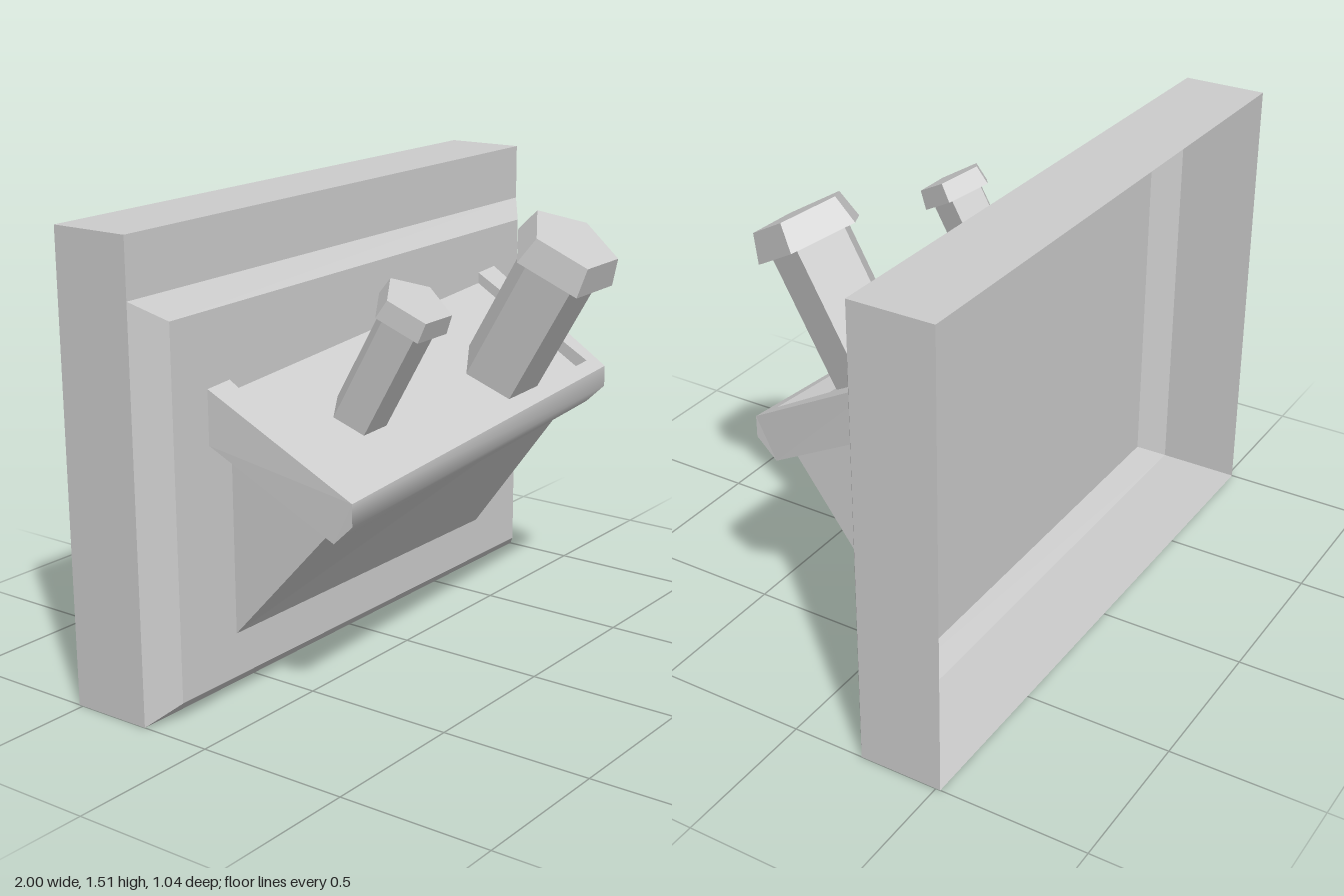
import * as THREE from 'three';

const flat = new THREE.MeshStandardMaterial({ color: 0xcccccc, flatShading: true, side: THREE.DoubleSide });
const smooth = new THREE.MeshStandardMaterial({ color: 0xcccccc, side: THREE.DoubleSide });

// Mesh from three- or four-cornered faces, corners anticlockwise from outside
function facesMesh(name, faces) {
  const pos = [];
  for (const [a, b, c, d] of faces) {
    pos.push(...a, ...b, ...c);
    if (d) pos.push(...a, ...c, ...d);
  }
  const g = new THREE.BufferGeometry();
  g.setAttribute('position', new THREE.Float32BufferAttribute(pos, 3));
  g.computeVertexNormals();
  const m = new THREE.Mesh(g, flat);
  m.name = name;
  return m;
}

// Four-cornered loop facing the front, with a top edge that slopes along x
const loop = (w, y0, top, slope, z) => [
  [-w, y0, z], [w, y0, z], [w, top + slope * w, z], [-w, top - slope * w, z],
];
const skirt = (back, front) => back.map((p, i) => {
  const j = (i + 1) % 4;
  return [p, back[j], front[j], front[i]];
});

// Hollow panel, open at the back, with a bevelled raised field
function buildPanel() {
  const back = loop(1, 0, 1.5025, 0.0125, -0.515);
  const face = loop(1, 0, 1.5025, 0.0125, -0.24);
  const outer = loop(1, 0, 1.315, 0.014, -0.24);
  const inner = loop(0.905, 0.063, 1.2525, 0.0185, -0.17);
  return facesMesh('panel', [
    ...skirt(back, face),
    [outer[3], outer[2], face[2], face[3]],
    ...skirt(outer, inner),
    inner,
  ]);
}

// Tray surface: slopes down to the front and up towards +x
const BACK = -0.17, FRONT = 0.32, LIP = 0.252, DEEP = 0.173, IN = 0.657;
const P = (x, z, drop = 0) => [x, 0.97 - 0.561 * z + 0.079 * x - drop, z];
const half = (z) => 0.755 - (z - BACK) * 0.106;

function buildTray() {
  const tray = new THREE.Group();
  tray.name = 'tray';
  const rimZ = 0.275, floorZ = 0.255, drop = 0.05, wf = half(FRONT), wb = half(BACK);
  const faces = [
    // Floor and the inner wall of the lip
    [P(-IN, floorZ, drop), P(IN, floorZ, drop), P(IN, BACK, 0.037), P(-IN, BACK, 0.037)],
    [P(-IN, rimZ), P(IN, rimZ), P(IN, floorZ, drop), P(-IN, floorZ, drop)],
    // Front rim and underside
    [P(-wf, FRONT), P(wf, FRONT), P(IN, rimZ), P(-IN, rimZ)],
    [P(-wb, BACK, DEEP), P(wb, BACK, DEEP), P(wf, LIP, DEEP), P(-wf, LIP, DEEP)],
  ];
  for (const s of [-1, 1]) {
    const side = [
      // Side rim, inner wall and outer wall
      [P(s * IN, rimZ), P(s * wf, FRONT), P(s * wb, BACK), P(s * IN, BACK)],
      [P(s * IN, floorZ, drop), P(s * IN, rimZ), P(s * IN, BACK), P(s * IN, BACK, 0.037)],
      [P(s * wf, LIP, DEEP), P(s * wb, BACK, DEEP), P(s * wb, BACK), P(s * wf, FRONT)],
      [P(s * wf, FRONT), P(s * wf, FRONT, 0.07), P(s * wf, LIP, DEEP)],
    ];
    faces.push(...side.map((f) => (s > 0 ? f : f.reverse())));
  }
  tray.add(facesMesh('trayBody', faces));

  // Rounded front lip, smooth across its fold
  const g = new THREE.BufferGeometry();
  const rows = [[FRONT, 0], [FRONT, 0.07], [LIP, DEEP]];
  g.setAttribute('position', new THREE.Float32BufferAttribute(
    rows.flatMap(([z, d]) => [...P(-wf, z, d), ...P(wf, z, d)]), 3));
  g.setIndex([0, 2, 3, 0, 3, 1, 2, 4, 5, 2, 5, 3]);
  g.computeVertexNormals();
  const lip = new THREE.Mesh(g, smooth);
  lip.name = 'trayLip';
  tray.add(lip);
  return tray;
}

// Wedge bracket under the tray
function buildBracket() {
  const low = (s) => [s * IN, 0.205, BACK];
  const tip = (s) => P(s * IN, 0.215, DEEP);
  const top = (s) => P(s * IN, BACK, DEEP);
  return facesMesh('bracket', [
    [low(-1), low(1), tip(1), tip(-1)],
    [low(1), top(1), tip(1)],
    [low(-1), tip(-1), top(-1)],
  ]);
}

// Five-sided peg with a flared head, from its foot on the tray to its top
function buildPeg(name, foot, top, r, headTop, headBottom, headHeight) {
  const peg = new THREE.Group();
  peg.name = name;
  const axis = new THREE.Vector3(...top).sub(new THREE.Vector3(...foot));
  const len = axis.length(), sink = 0.02;
  const add = (part, rt, rb, h, y) => {
    const m = new THREE.Mesh(new THREE.CylinderGeometry(rt, rb, h, 5, 1, false, Math.PI), flat);
    m.name = part;
    m.position.y = y;
    peg.add(m);
  };
  const shaft = len - headHeight + sink;
  add('pegShaft', r, r, shaft, shaft / 2 - sink);
  add('pegHead', headTop, headBottom, headHeight, len - headHeight / 2);
  peg.position.set(...foot);
  peg.quaternion.setFromUnitVectors(new THREE.Vector3(0, 1, 0), axis.normalize());
  return peg;
}

export function createModel() {
  const model = new THREE.Group();
  model.name = 'wallTrayWithPegs';
  model.add(
    buildPanel(),
    buildTray(),
    buildBracket(),
    buildPeg('largePeg', [0.333, 0.88, 0.135], [0.322, 1.348, 0.412], 0.138, 0.157, 0.184, 0.095),
    buildPeg('smallPeg', [-0.332, 0.87, 0.06], [-0.338, 1.253, 0.283], 0.092, 0.112, 0.123, 0.065),
  );
  return model;
}
